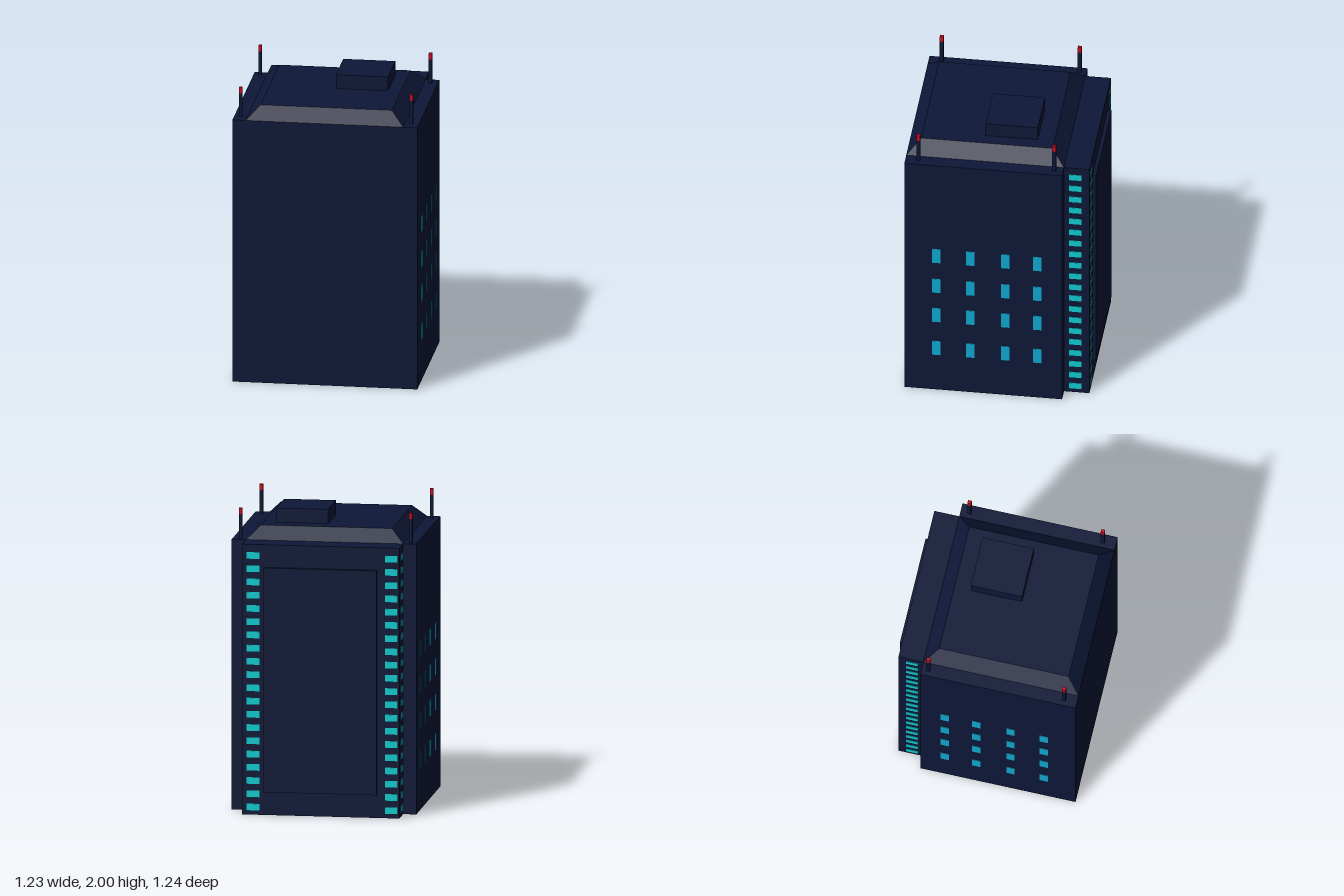
import * as THREE from 'three';

const mat = (color) => new THREE.MeshStandardMaterial({ color, flatShading: true });

export function createModel() {
  const group = new THREE.Group();
  const wall = mat(0x0d1738), blue = mat(0x10a8d0), teal = mat(0x10ccd0), red = mat(0xd00a1e);

  // Box given by its lower and upper limits on each axis
  function box(name, [x0, x1], [y0, y1], [z0, z1], material = wall, parent = group) {
    const mesh = new THREE.Mesh(new THREE.BoxGeometry(x1 - x0, y1 - y0, z1 - z0), material);
    mesh.position.set((x0 + x1) / 2, (y0 + y1) / 2, (z0 + z1) / 2);
    mesh.name = name;
    parent.add(mesh);
    return mesh;
  }
  const around = (c, size) => [c - size / 2, c + size / 2];
  const subgroup = (name) => {
    const g = new THREE.Group();
    g.name = name;
    group.add(g);
    return g;
  };

  // Main tower, rear block and its raised panel
  box('mainTower', [-0.614, 0.61], [0, 1.8], [-0.427, 0.617]);
  box('rearBlock', [-0.527, 0.517], [0, 1.8], [-0.595, -0.427]);
  box('rearPanel', [-0.379, 0.369], [0.155, 1.65], [-0.62, -0.595]);

  // Sloped roof: a square frustum
  const roof = new THREE.Mesh(
    new THREE.CylinderGeometry(0.87 * Math.SQRT1_2, 1.044 * Math.SQRT1_2, 0.085, 4), wall);
  roof.geometry.rotateY(Math.PI / 4);
  roof.position.set(-0.005, 1.8425, 0.095);
  roof.name = 'slopedRoof';
  group.add(roof);
  box('roofUnit', [0, 0.345], [1.885, 1.98], [-0.23, 0.115]);

  // Corner masts with red lamps
  for (const [x, z] of [[-0.571, 0.53], [0.559, 0.53], [-0.571, -0.383], [0.559, -0.368]]) {
    const mast = subgroup('roofMast');
    box('mastPole', around(x, 0.022), [1.8, 1.96], around(z, 0.025), wall, mast);
    box('mastLamp', around(x, 0.022), [1.96, 2], around(z, 0.025), red, mast);
  }

  // Window grids on both sides of the tower
  const sideWindows = subgroup('sideWindows');
  for (const x of [-0.614, 0.61])
    for (const y of [0.335, 0.6, 0.835, 1.075])
      for (const z of [0.405, 0.18, -0.05, -0.262])
        box('sideWindow', around(x, 0.006), around(y, 0.112), around(z, 0.056), blue, sideWindows);

  // Window strips wrapping the rear block's corners
  const strips = subgroup('rearWindowStrips');
  for (let i = 0; i < 20; i++) {
    const y = around(0.051 + i * 0.0882, 0.044);
    for (const x of [-0.527, 0.517])
      box('stripSideWindow', around(x, 0.006), y, [-0.544, -0.461], teal, strips);
    for (const x of [-0.475, 0.443])
      box('stripBackWindow', around(x, 0.083), y, around(-0.595, 0.006), teal, strips);
  }
  return group;
}
